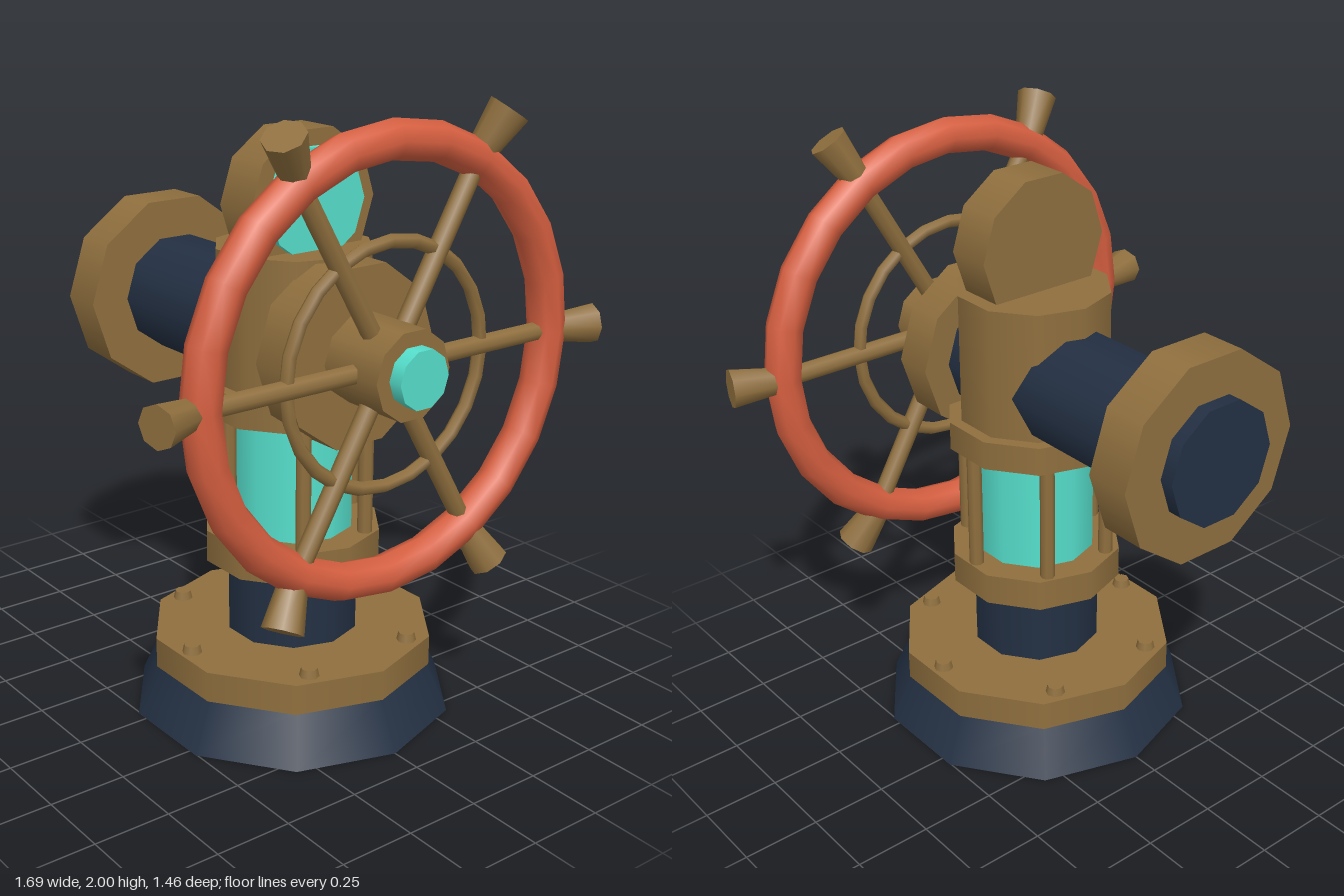
import * as THREE from 'three';

export function createModel() {
  const model = new THREE.Group();
  model.name = 'valvePeriscope';

  const material = (name, color) => {
    const m = new THREE.MeshStandardMaterial({ color });
    m.name = name;
    return m;
  };
  const navy = material('navy iron', 0x233043);
  const brass = material('brass', 0x8f6f3e);
  const glass = material('turquoise glass', 0x56dfcc);
  const coral = material('coral rim', 0xd65f40);

  const SIDES = 10;
  const AXIS_Z = 0.12; // centre line of the upright column
  const HUB_Y = 1.247; // centre line of the horizontal pipe and wheel

  const add = (name, geometry, mat, parent = model) => {
    const mesh = new THREE.Mesh(geometry, mat);
    mesh.name = name;
    parent.add(mesh);
    return mesh;
  };

  // Upright drum between two heights
  const upright = (name, mat, y0, y1, rBottom, rTop = rBottom) =>
    add(name, new THREE.CylinderGeometry(rTop, rBottom, y1 - y0, SIDES), mat)
      .position.set(0, (y0 + y1) / 2, AXIS_Z);

  // Horizontal drum along z, corners pointing to the sides
  const level = (name, mat, z0, z1, r, y = HUB_Y, parent = model) => {
    const g = new THREE.CylinderGeometry(r, r, z1 - z0, SIDES);
    g.rotateX(Math.PI / 2).rotateZ(Math.PI / 2);
    add(name, g, mat, parent).position.set(0, y, (z0 + z1) / 2);
  };

  // Base and column
  upright('base', navy, 0, 0.16, 0.53, 0.455);
  upright('baseFlange', brass, 0.16, 0.26, 0.465);
  upright('column', navy, 0.26, 0.51, 0.217);
  upright('lowerCollar', brass, 0.51, 0.615, 0.29);
  upright('glassChamber', glass, 0.615, 1.01, 0.198);
  upright('upperCollar', brass, 1.01, 1.105, 0.29);
  upright('body', brass, 1.105, 1.533, 0.25);

  // Flange bolts and the rods caging the glass
  for (let i = 0; i < 6; i++) {
    const a = (i * Math.PI) / 3;
    const bolt = add('flangeBolt', new THREE.CylinderGeometry(0.026, 0.035, 0.04, 8), brass);
    bolt.position.set(0.4 * Math.cos(a), 0.267, AXIS_Z + 0.4 * Math.sin(a));
    const rod = add('cageRod', new THREE.CylinderGeometry(0.024, 0.024, 0.42, 8), brass);
    rod.position.set(0.25 * Math.cos(a), 0.812, AXIS_Z + 0.25 * Math.sin(a));
  }

  // Horizontal pipe with its flanges
  level('pipe', navy, -0.73, 0.44, 0.197);
  level('rearFlange', brass, -0.685, -0.535, 0.332);
  level('frontFlange', brass, 0.315, 0.45, 0.29);

  // Viewing head
  level('viewingHead', brass, 0.065, 0.218, 0.235, 1.672);
  level('viewingLens', glass, 0.21, 0.24, 0.18, 1.674);

  // Hand wheel
  const wheel = new THREE.Group();
  wheel.name = 'handWheel';
  wheel.position.set(0, HUB_Y, 0.567);
  model.add(wheel);
  level('wheelHub', brass, -0.13, 0.115, 0.14, 0, wheel);
  level('hubCap', glass, 0.11, 0.163, 0.092, 0, wheel);
  add('wheelRim', new THREE.TorusGeometry(0.663, 0.06, 8, 24), coral, wheel);
  add('innerRing', new THREE.TorusGeometry(0.373, 0.022, 6, 24), brass, wheel);

  // Spokes and flared handles that lean slightly forward
  for (let i = 0; i < 6; i++) {
    const arm = new THREE.Group();
    arm.name = 'wheelArm';
    arm.rotation.z = (i * Math.PI) / 3;
    wheel.add(arm);
    const spoke = new THREE.CylinderGeometry(0.031, 0.031, 0.6, 8).rotateZ(-Math.PI / 2);
    add('spoke', spoke, brass, arm).position.x = 0.38;
    const handle = new THREE.CylinderGeometry(0.065, 0.043, 0.16, 8)
      .rotateZ(-Math.PI / 2).rotateY(-0.28);
    add('handle', handle, brass, arm).position.set(0.75, 0, 0.018);
  }

  return model;
}
